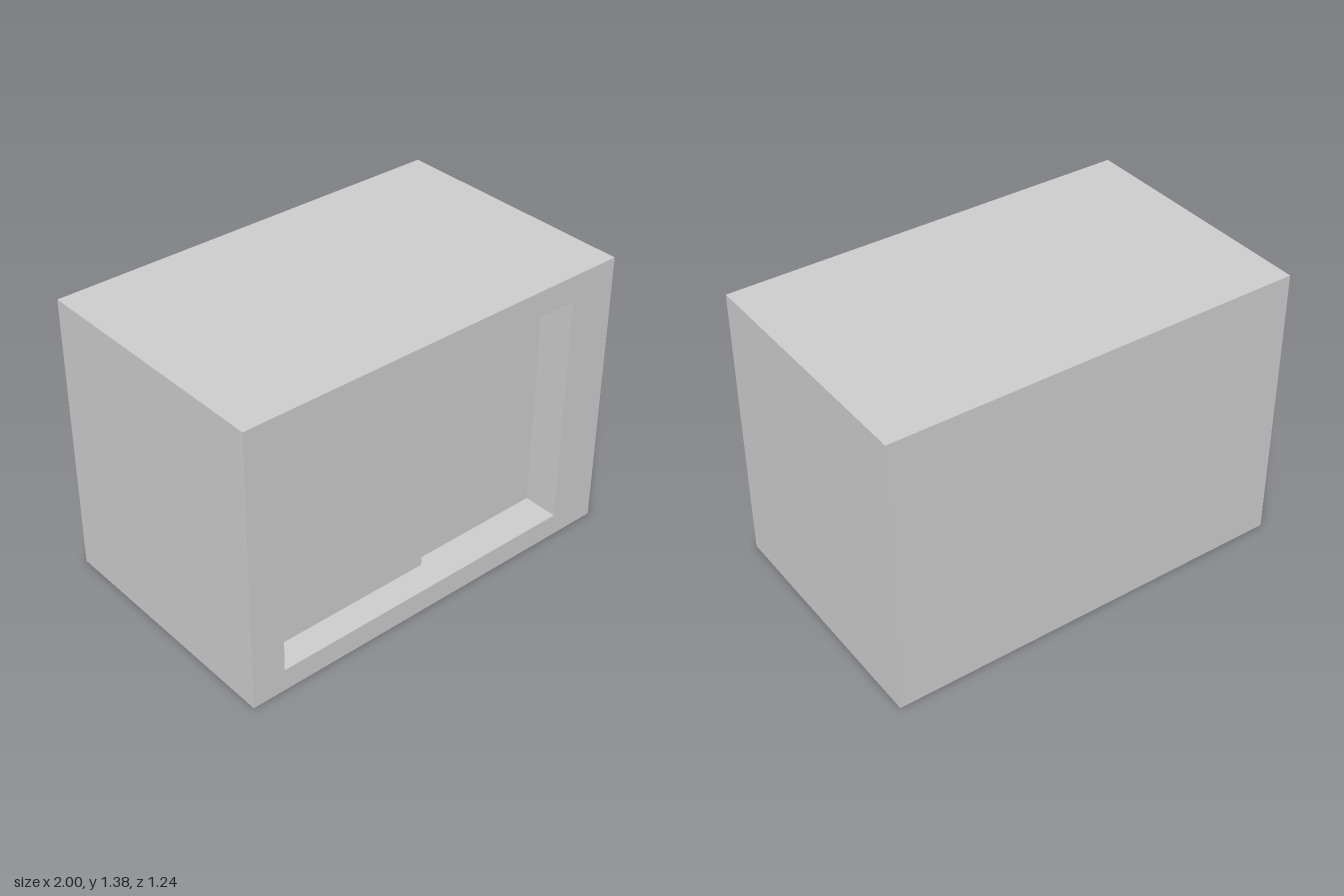
import * as THREE from 'three';

const W = 2, H = 1.38, D = 1.24;
const FRONT = D / 2;
const FRAME = 0.135; // thickness of the front frame
const POCKET = 0.09; // depth of the cavity that holds the doors
const OPEN = { x0: -0.835, x1: 0.757, y0: 0.11, y1: 1.253 };

function rectangle(target, x0, x1, y0, y1) {
  target.moveTo(x0, y0);
  target.lineTo(x1, y0);
  target.lineTo(x1, y1);
  target.lineTo(x0, y1);
  target.closePath();
  return target;
}

// Rectangular ring, with its opening widened by a margin
function ring(margin, depth) {
  const shape = rectangle(new THREE.Shape(), -W / 2, W / 2, 0, H);
  shape.holes.push(rectangle(new THREE.Path(),
    OPEN.x0 - margin, OPEN.x1 + margin, OPEN.y0 - margin, OPEN.y1 + margin));
  return new THREE.ExtrudeGeometry(shape, { depth, bevelEnabled: false });
}

export function createModel() {
  const group = new THREE.Group();
  const material = new THREE.MeshStandardMaterial({ color: 0xcccccc, flatShading: true });
  const add = (name, geometry, x, y, z) => {
    const mesh = new THREE.Mesh(geometry, material);
    mesh.name = name;
    mesh.position.set(x, y, z);
    group.add(mesh);
    return mesh;
  };

  // Front frame, the cavity behind it and the closed rear body
  add('frontFrame', ring(0, FRAME), 0, 0, FRONT - FRAME);
  add('doorCavity', ring(0.04, POCKET), 0, 0, FRONT - FRAME - POCKET);
  const bodyDepth = D - FRAME - POCKET;
  add('cabinetBody', new THREE.BoxGeometry(W, H, bodyDepth), 0, H / 2, -FRONT + bodyDepth / 2);

  // Sliding doors: the wide one runs in front and has a slanted closing edge
  const height = OPEN.y1 - OPEN.y0 + 0.06;
  const midY = (OPEN.y0 + OPEN.y1) / 2;
  const front = FRONT - 0.144, rear = FRONT - 0.2;
  const profile = new THREE.Shape();
  profile.moveTo(-0.86, -front);
  profile.lineTo(0.059, -front);
  profile.lineTo(0.075, -rear);
  profile.lineTo(-0.86, -rear);
  profile.closePath();
  const wide = new THREE.ExtrudeGeometry(profile, { depth: height, bevelEnabled: false });
  wide.rotateX(-Math.PI / 2); // profile y becomes -z, depth becomes y
  add('frontSlidingDoor', wide, 0, midY - height / 2, 0);

  const x0 = 0.0, x1 = OPEN.x1 + 0.03;
  add('rearSlidingDoor', new THREE.BoxGeometry(x1 - x0, height, 0.02),
    (x0 + x1) / 2, midY, rear - 0.01);

  return group;
}
